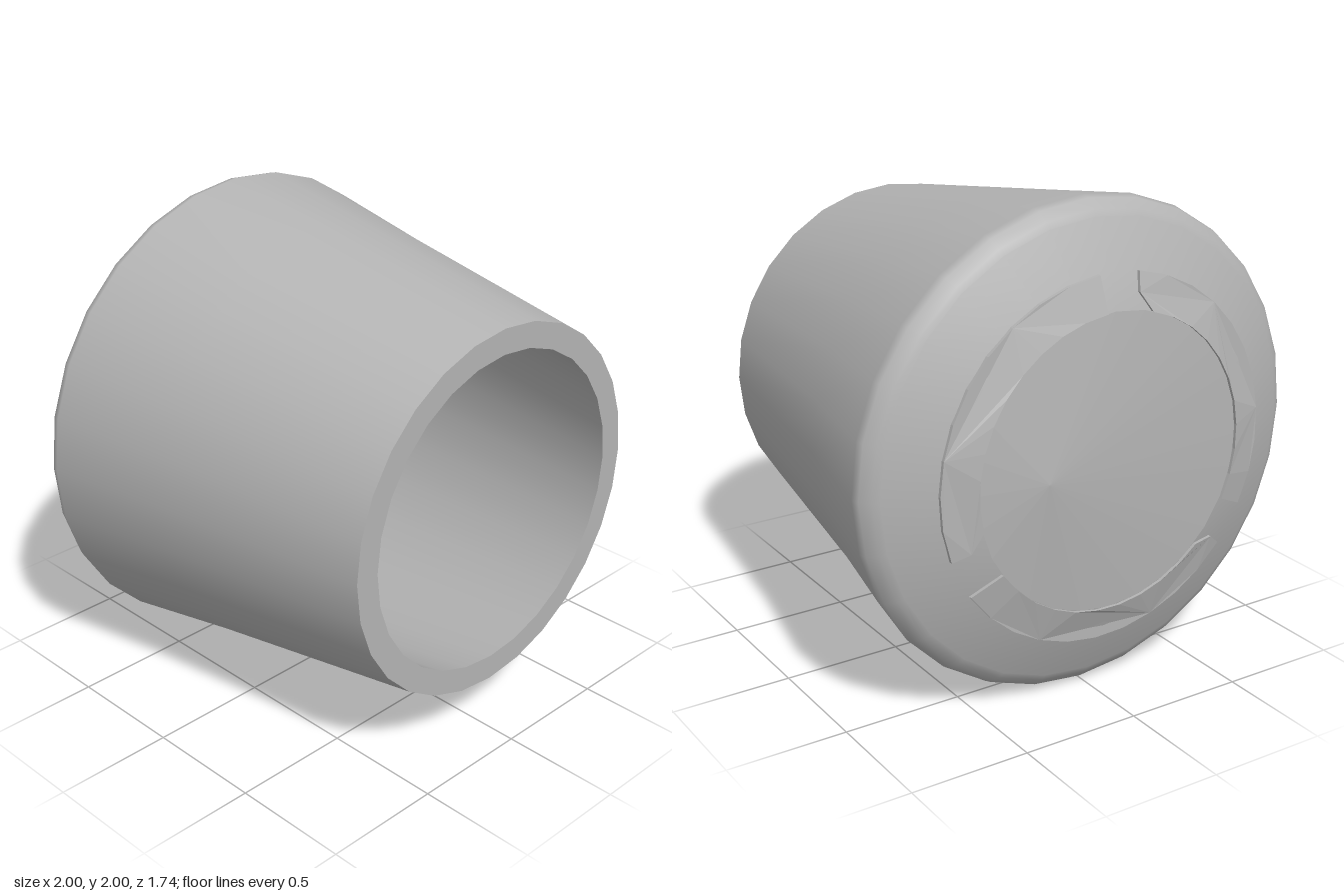
import * as THREE from 'three';

const SIDES = 28;
const rad = THREE.MathUtils.degToRad;

// Turn a profile of [radius, z] points around the z axis.
function turned(profile) {
  const points = profile.map(([r, z]) => new THREE.Vector2(r, -z));
  return new THREE.LatheGeometry(points, SIDES).rotateX(-Math.PI / 2);
}

// Move every vertex by a rule.
function reshape(geometry, rule) {
  const p = geometry.attributes.position;
  const v = new THREE.Vector3();
  for (let i = 0; i < p.count; i++) {
    rule(v.fromBufferAttribute(p, i));
    p.setXYZ(i, v.x, v.y, v.z);
  }
  return geometry;
}

// Shift the apex of a dome to the side and give it crisp facets.
function faceted(geometry) {
  const g = reshape(geometry, (v) => {
    if (Math.hypot(v.x, v.y) < 0.01) v.x = 0.32;
  }).toNonIndexed();
  g.computeVertexNormals();
  return g;
}

// Curved plate with one square end and one end cut on its inner corner.
function arcPlate() {
  const inner = 0.6, outer = 0.74, start = 86, end = -20, steps = 10;
  const points = [];
  const add = (r, a) => points.push(new THREE.Vector2(r * Math.cos(rad(a)), r * Math.sin(rad(a))));
  for (let i = 0; i <= steps; i++) add(outer, start + (end - start) * i / steps);
  add(0.665, end);
  for (let i = steps; i >= 0; i--) add(inner, start + (end + 6 - start) * i / steps);
  const g = new THREE.ExtrudeGeometry(new THREE.Shape(points), { depth: 1, bevelEnabled: false });
  // Slope both faces to follow the dome.
  reshape(g, (v) => {
    const t = (Math.hypot(v.x, v.y) - inner) / (outer - inner);
    v.z = v.z > 0.5 ? -0.78 + 0.07 * t : -0.833 + 0.043 * t;
  });
  g.computeVertexNormals();
  return g;
}

export function createModel() {
  const grey = new THREE.MeshStandardMaterial({ color: 0xb4b4b4 });
  grey.name = 'grey';
  const model = new THREE.Group();
  model.name = 'taperedCap';
  model.position.y = 1;
  const add = (name, geometry) => {
    const mesh = new THREE.Mesh(geometry, grey);
    mesh.name = name;
    model.add(mesh);
    return mesh;
  };

  // Tapered wall with a rounded back edge, slightly waisted across x.
  const wall = turned([[0.765, 0.87], [0.92, -0.1], [1, -0.6], [0.99, -0.635], [0.955, -0.672], [0.93, -0.685]]);
  add('outerWall', reshape(wall, (v) => {
    if (Math.abs(v.z + 0.1) < 0.01) v.x *= 0.98;
  }));

  // Closed back.
  add('backSlope', turned([[0.93, -0.685], [0.74, -0.776], [0.6, -0.82]]));
  add('backDome', faceted(turned([[0.6, -0.82], [0, -0.87]])));

  // Open front and hollow inside.
  add('rim', turned([[0.66, 0.87], [0.765, 0.87]]));
  add('innerWall', turned([[0.9, -0.62], [0.66, 0.87]]));
  add('innerSlope', turned([[0.6, -0.785], [0.74, -0.74], [0.9, -0.62]]));
  add('innerFloor', faceted(turned([[0, -0.83], [0.6, -0.785]])));

  // Three arc plates around the back.
  const plate = arcPlate();
  for (let i = 0; i < 3; i++) {
    add('arcPlate' + (i + 1), plate).rotation.z = i * Math.PI * 2 / 3;
  }
  return model;
}
